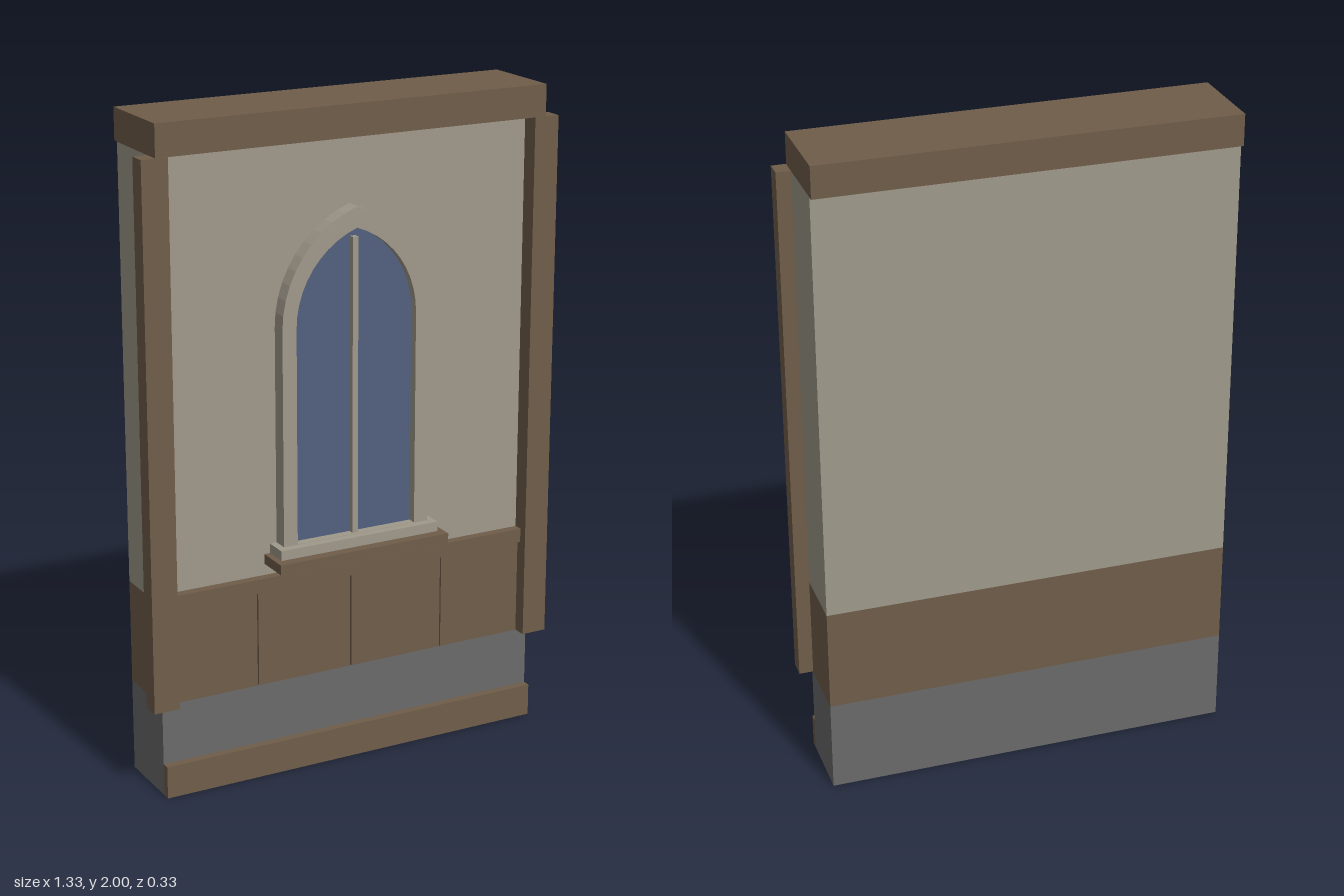
import * as THREE from 'three';

const material = (name, color) => {
  const m = new THREE.MeshStandardMaterial({ color });
  m.name = name;
  return m;
};

// Pointed arch outline: straight jambs, then two arcs meeting at the apex
function archPoints(halfWidth, bottom, spring, apex, steps = 10) {
  const rise = apex - spring;
  const radius = (halfWidth ** 2 + rise ** 2) / (2 * halfWidth);
  const centre = halfWidth - radius;
  const apexAngle = Math.atan2(rise, -centre);
  const right = [];
  for (let i = 0; i <= steps; i++) {
    const a = (apexAngle * i) / steps;
    right.push(new THREE.Vector2(centre + radius * Math.cos(a), spring + radius * Math.sin(a)));
  }
  const left = right.slice(0, -1).reverse().map(p => new THREE.Vector2(-p.x, p.y));
  return [new THREE.Vector2(halfWidth, bottom), ...right, ...left, new THREE.Vector2(-halfWidth, bottom)];
}

export function createModel() {
  const group = new THREE.Group();
  group.name = 'wallSection';
  const wood = material('brown wood', 0x6f5d49);
  const plaster = material('beige plaster', 0xa0998b);
  const stone = material('grey stone', 0x6a6a6a);
  const glass = material('blue glass', 0x53617f);

  const add = (name, geometry, mat) => {
    const mesh = new THREE.Mesh(geometry, mat);
    mesh.name = name;
    group.add(mesh);
    return mesh;
  };
  // Box given by its limits on each axis
  const box = (name, mat, x0, x1, y0, y1, z0, z1) => {
    const mesh = add(name, new THREE.BoxGeometry(x1 - x0, y1 - y0, z1 - z0), mat);
    mesh.position.set((x0 + x1) / 2, (y0 + y1) / 2, (z0 + z1) / 2);
    return mesh;
  };

  // Wall body in three bands
  const W = 0.622, back = -0.145, face = 0.057;
  box('stoneBase', stone, -W, W, 0, 0.285, back, 0.07);
  box('lowerWall', wood, -W, W, 0.285, 0.6, back, face);
  box('upperWall', plaster, -W, W, 0.6, 1.905, back, face);

  // Timber trim
  box('baseboard', wood, -W, W, 0, 0.1, 0.07, 0.095);
  box('topBeam', wood, -W, W, 1.905, 2, -0.163, 0.11);
  for (const [name, s] of [['leftPost', 1], ['rightPost', -1]]) {
    const post = box(name, wood, 0.585, 0.665, 0.285, 1.905, face, 0.112);
    post.position.x *= s;
  }

  // Wainscot panels with narrow gaps, and the rail above them
  for (let i = 0; i < 4; i++) {
    const x = -0.62 + i * 0.31;
    box('wainscotPanel', wood, Math.max(x + 0.002, -0.585), Math.min(x + 0.308, 0.585), 0.285, 0.582, face, 0.07);
  }
  box('wainscotRail', wood, -0.585, 0.585, 0.582, 0.625, face, 0.085);

  // Window surround with a pointed opening
  const surround = new THREE.Shape(archPoints(0.24, 0.72, 1.37, 1.705));
  const inner = archPoints(0.195, 0.72, 1.37, 1.643);
  surround.holes.push(new THREE.Path(archPoints(0.195, 0.721, 1.37, 1.643)));
  add('windowSurround', new THREE.ExtrudeGeometry(surround, { depth: 0.048, bevelEnabled: false }), plaster)
    .position.z = face;

  // Glass pane and central mullion
  add('windowGlass', new THREE.ExtrudeGeometry(new THREE.Shape(inner), { depth: 0.009, bevelEnabled: false }), glass)
    .position.z = 0.069;
  box('mullion', plaster, -0.009, 0.009, 0.72, 1.615, face, 0.096);

  // Stepped window sill
  box('upperSill', plaster, -0.262, 0.262, 0.69, 0.72, face, 0.131);
  box('lowerSill', wood, -0.28, 0.28, 0.66, 0.69, face, 0.163);

  return group;
}
